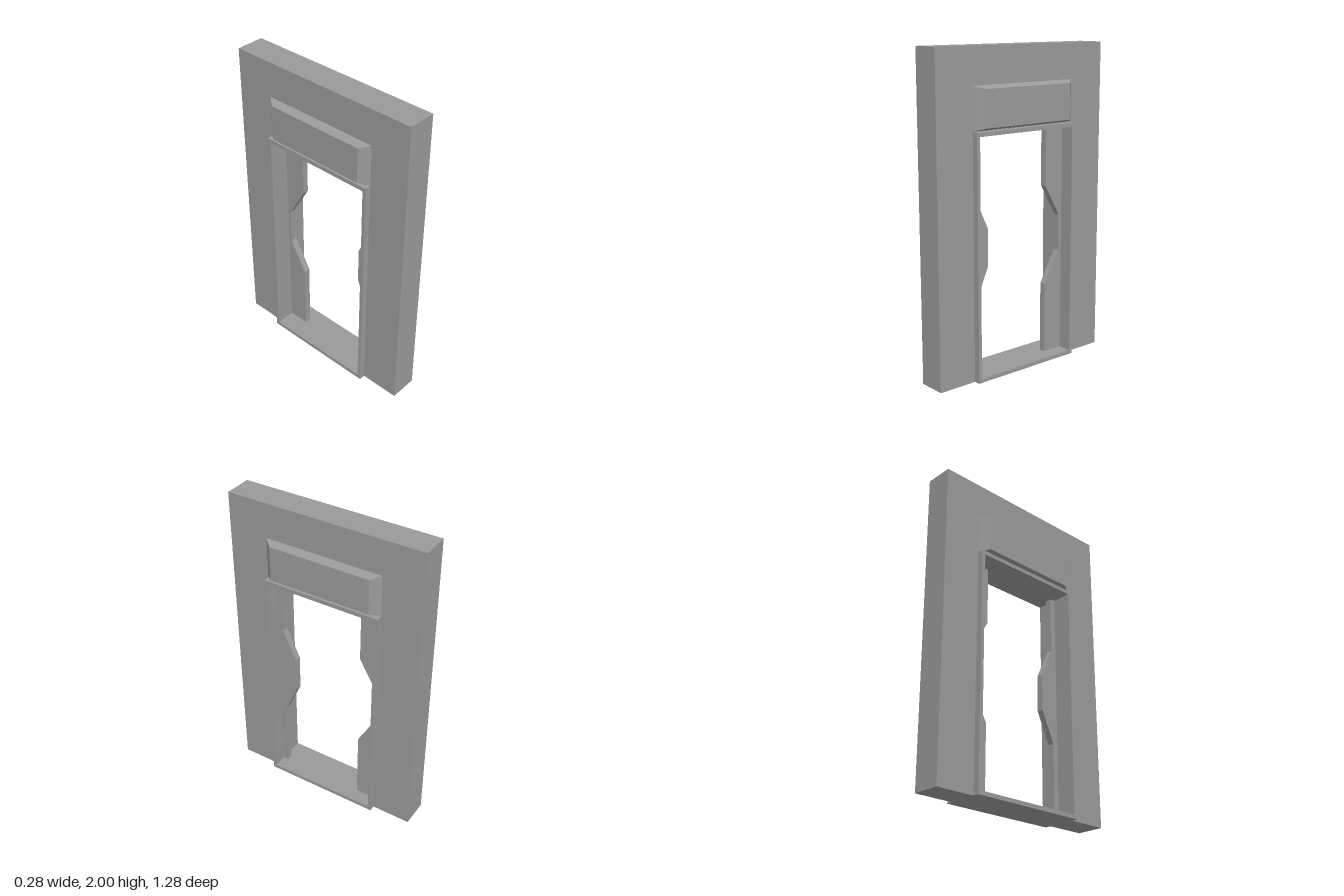
import * as THREE from 'three';

export function createModel() {
  const group = new THREE.Group();
  group.name = 'slidingDoorway';
  const grey = new THREE.MeshStandardMaterial({ color: 0x999999 });
  grey.name = 'grey';

  const add = (name, geometry) => {
    const mesh = new THREE.Mesh(geometry, grey);
    mesh.name = name;
    group.add(mesh);
  };

  const toPoints = (list) => list.map(([z, y]) => new THREE.Vector2(z, y));

  // Extrudes a (z, y) outline along x, centred on the given x
  const panel = (name, outline, thickness, x = 0, hole) => {
    const shape = new THREE.Shape(toPoints(outline));
    if (hole) shape.holes.push(new THREE.Path(toPoints(hole)));
    const geometry = new THREE.ExtrudeGeometry(shape, { depth: thickness, bevelEnabled: false });
    geometry.translate(0, 0, -thickness / 2).rotateY(-Math.PI / 2).translate(x, 0, 0);
    add(name, geometry);
  };

  const rect = (halfZ, y0, y1) => [[-halfZ, y0], [halfZ, y0], [halfZ, y1], [-halfZ, y1]];

  // Wall with the doorway cut out from the floor up
  panel('wall', [
    [-0.64, 0], [-0.385, 0], [-0.385, 1.515], [0.385, 1.515],
    [0.385, 0], [0.64, 0], [0.64, 2], [-0.64, 2],
  ], 0.18);

  // Thin frame lining the doorway and standing proud on both sides
  panel('doorFrame', rect(0.385, 0, 1.515), 0.26, 0, rect(0.363, 0.025, 1.49));

  // Retracted door leaves: one edge bulges, the other is notched to match
  panel('doorLeafTongue', [
    [0.37, 0.02], [0.37, 1.495], [0.328, 1.495], [0.328, 1.115],
    [0.238, 0.92], [0.238, 0.685], [0.328, 0.485], [0.328, 0.02],
  ], 0.042, 0.018);
  panel('doorLeafNotch', [
    [-0.37, 0.02], [-0.226, 0.02], [-0.226, 0.48], [-0.342, 0.685],
    [-0.342, 0.92], [-0.226, 1.12], [-0.226, 1.495], [-0.37, 1.495],
  ], 0.042, 0.018);

  // Bevelled panel above the door on each side of the wall
  for (const side of [1, -1]) {
    const geometry = new THREE.BoxGeometry(0.05, 0.26, 0.77);
    const p = geometry.attributes.position;
    for (let i = 0; i < p.count; i++) {
      if (p.getX(i) * side > 0) {
        p.setY(i, Math.sign(p.getY(i)) * 0.112);
        p.setZ(i, Math.sign(p.getZ(i)) * 0.33);
      }
    }
    geometry.translate(side * 0.115, 1.648, 0);
    const flat = geometry.toNonIndexed();
    flat.computeVertexNormals();
    add(side > 0 ? 'leftHeaderPanel' : 'rightHeaderPanel', flat);
  }

  return group;
}
